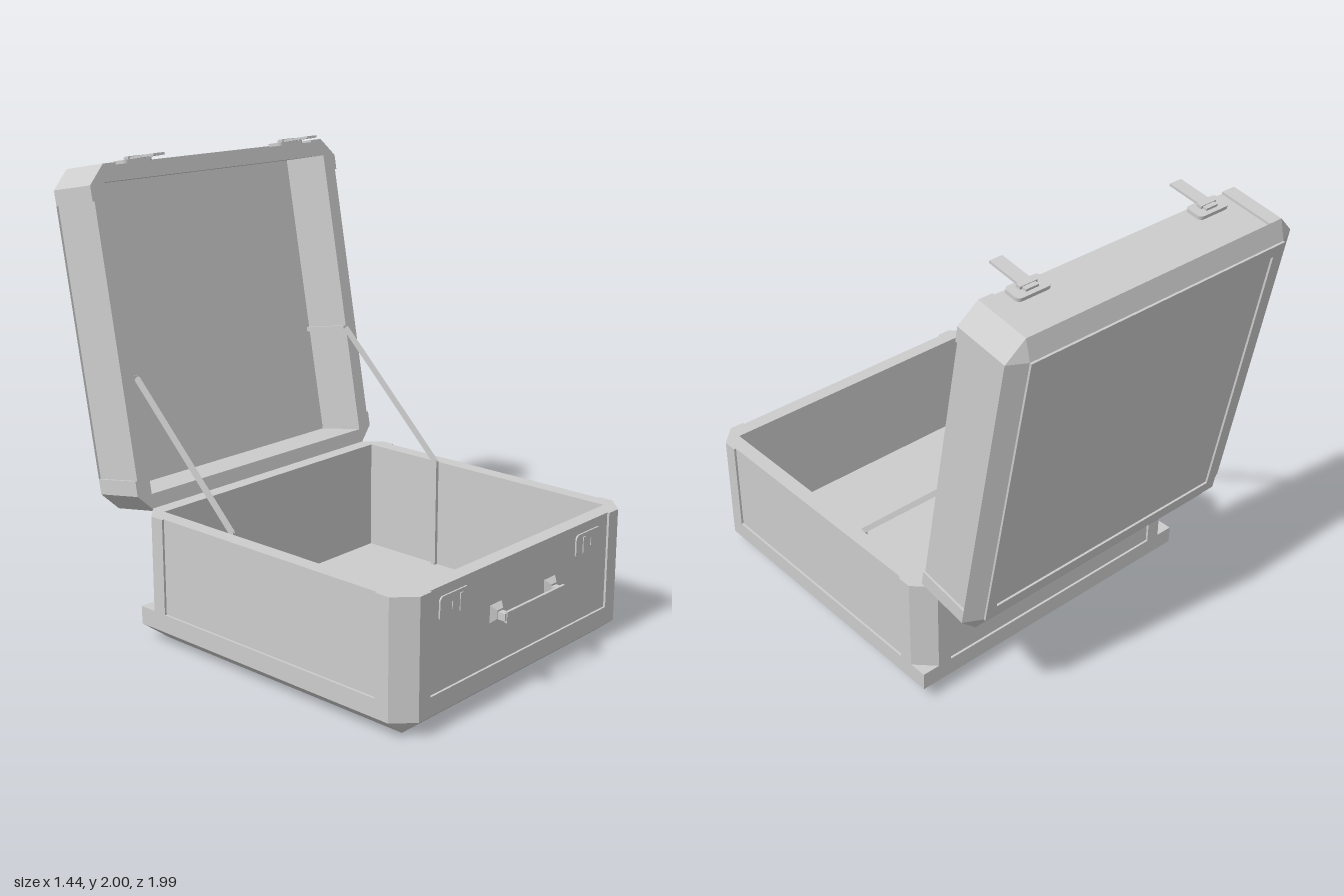
import * as THREE from 'three';

const grey = new THREE.MeshStandardMaterial({ color: 0xcccccc });
grey.name = 'grey';

const W = 0.72, C = 0.64, S = 0.575, P = 0.71, HOLE = 0.645;

function add(parent, name, geometry, x = 0, y = 0, z = 0) {
  const mesh = new THREE.Mesh(geometry, grey);
  mesh.name = name;
  mesh.position.set(x, y, z);
  parent.add(mesh);
  return mesh;
}

const box = (w, h, d) => new THREE.BoxGeometry(w, h, d);

// Repeat one corner's points around all four corners, counter-clockwise
function aroundCorners(corner) {
  const pts = [];
  [[1, 1], [-1, 1], [-1, -1], [1, -1]].forEach(([sx, sy], i) => {
    const q = corner(sy).map(([x, y]) => [x * sx, y * sy]);
    pts.push(...(i % 2 ? q.reverse() : q));
  });
  return pts;
}

// Wall outline: cut corners, raised corner strips, recessed panels
const wallOutline = aroundCorners(() => [[P, S], [W, S], [W, C], [C, W], [S, W], [S, P]]);
const cutOutline = aroundCorners(() => [[W, C], [C, W]]);
// Positive second coordinate is the back, where corners stay square
const bandOutline = aroundCorners(s => (s > 0 ? [[W, W], [W, W]] : [[W, C], [C, W]]));
const innerOutline = aroundCorners(() => [[C, C], [C, C]]);

// Vertical ring with a square opening
function ring(outline, hole, height) {
  const shape = new THREE.Shape(outline.map(p => new THREE.Vector2(...p)));
  const h = hole;
  shape.holes.push(new THREE.Path([[-h, -h], [-h, h], [h, h], [h, -h]].map(p => new THREE.Vector2(...p))));
  const g = new THREE.ExtrudeGeometry(shape, { depth: height, bevelEnabled: false });
  return g.rotateX(-Math.PI / 2);
}

// Sloped closed tray between two outlines of eight points
function tray(low, high, height) {
  const pos = [];
  const at = (p, y) => [p[0], y, -p[1]];
  const n = low.length;
  for (let i = 0; i < n; i++) {
    const j = (i + 1) % n;
    const a = at(low[i], 0), b = at(low[j], 0), c = at(high[j], height), d = at(high[i], height);
    pos.push(...a, ...b, ...c, ...a, ...c, ...d);
    pos.push(0, 0, 0, ...b, ...a, 0, height, 0, ...d, ...c);
  }
  const g = new THREE.BufferGeometry();
  g.setAttribute('position', new THREE.Float32BufferAttribute(pos, 3));
  g.computeVertexNormals();
  return g;
}

// Thin plate with rounded corners, facing +z
function roundedPlate(w, h, r, depth) {
  const s = new THREE.Shape();
  const x = w / 2, y = h / 2;
  s.absarc(x - r, y - r, r, 0, Math.PI / 2);
  s.absarc(-x + r, y - r, r, Math.PI / 2, Math.PI);
  s.absarc(-x + r, -y + r, r, Math.PI, Math.PI * 1.5);
  s.absarc(x - r, -y + r, r, Math.PI * 1.5, Math.PI * 2);
  return new THREE.ExtrudeGeometry(s, { depth, bevelEnabled: false, curveSegments: 4 });
}

function makeBase() {
  const base = new THREE.Group();
  base.name = 'base';
  base.position.z = 0.23;
  add(base, 'bottomTray', tray(innerOutline, bandOutline, 0.067));
  add(base, 'lowerBand', ring(bandOutline, HOLE, 0.078), 0, 0.067);
  add(base, 'baseWalls', ring(wallOutline, HOLE, 0.415), 0, 0.145);

  for (const s of [-1, 1]) {
    // Lock plates with a catch slot and key slit
    add(base, 'lockPlate', roundedPlate(0.175, 0.1, 0.02, 0.007), s * 0.435, 0.47, P);
    add(base, 'catchSlot', box(0.016, 0.07, 0.006), s * 0.4, 0.47, P + 0.008);
    add(base, 'keySlit', box(0.007, 0.03, 0.004), s * 0.45, 0.47, P + 0.008);
    // Handle mounts
    const mount = new THREE.CylinderGeometry(0.025, 0.052, 0.022, 4).toNonIndexed();
    mount.computeVertexNormals();
    mount.rotateY(Math.PI / 4).rotateX(Math.PI / 2);
    add(base, 'handleMount', mount, s * 0.176, 0.355, P + 0.011);
    add(base, 'handleLeg', box(0.03, 0.03, 0.04), s * 0.175, 0.35, P + 0.035);
  }
  add(base, 'handleBar', box(0.38, 0.045, 0.012), 0.01, 0.347, P + 0.052);
  return base;
}

function makeLid() {
  const lid = new THREE.Group();
  lid.name = 'lid';
  // Local +y is the open side, local -z runs up towards the latches
  lid.position.set(0, 1.255, -0.604);
  lid.rotation.x = THREE.MathUtils.degToRad(79.9);
  add(lid, 'lidTray', tray(innerOutline, cutOutline, 0.035), 0, -0.275);
  add(lid, 'lidWalls', ring(wallOutline, HOLE, 0.24), 0, -0.24);
  add(lid, 'lidFrame', ring(aroundCorners(() => [[C, C]]), 0.59, 0.009), 0, -0.284);

  for (const s of [-1, 1]) {
    // Latches
    const plate = roundedPlate(0.16, 0.078, 0.02, 0.015).rotateY(Math.PI);
    add(lid, 'latchPlate', plate, s * 0.45, -0.04, -P);
    add(lid, 'latchTongue', box(0.06, 0.19, 0.01), s * 0.45, 0.035, -0.73);
    add(lid, 'latchPivot', box(0.08, 0.022, 0.016), s * 0.45, -0.03, -0.73);
    // Stay anchor on the inner side wall
    add(lid, 'stayAnchor', box(0.016, 0.24, 0.022), s * 0.637, -0.12, 0.159);
  }
  return lid;
}

export function createModel() {
  const model = new THREE.Group();
  model.name = 'openCase';
  model.add(makeBase(), makeLid());

  // Lid stays: a post in the base and a sloping rod up to the lid
  const dy = 0.54, dz = -0.55;
  for (const s of [-1, 1]) {
    add(model, 'stayPost', box(0.016, 0.5, 0.022), s * 0.637, 0.315, -0.02);
    const rod = add(model, 'stayRod', box(0.014, Math.hypot(dy, dz), 0.022), s * 0.637, 0.56 + dy / 2, -0.02 + dz / 2);
    rod.rotation.x = Math.atan2(dz, dy);
  }
  return model;
}
